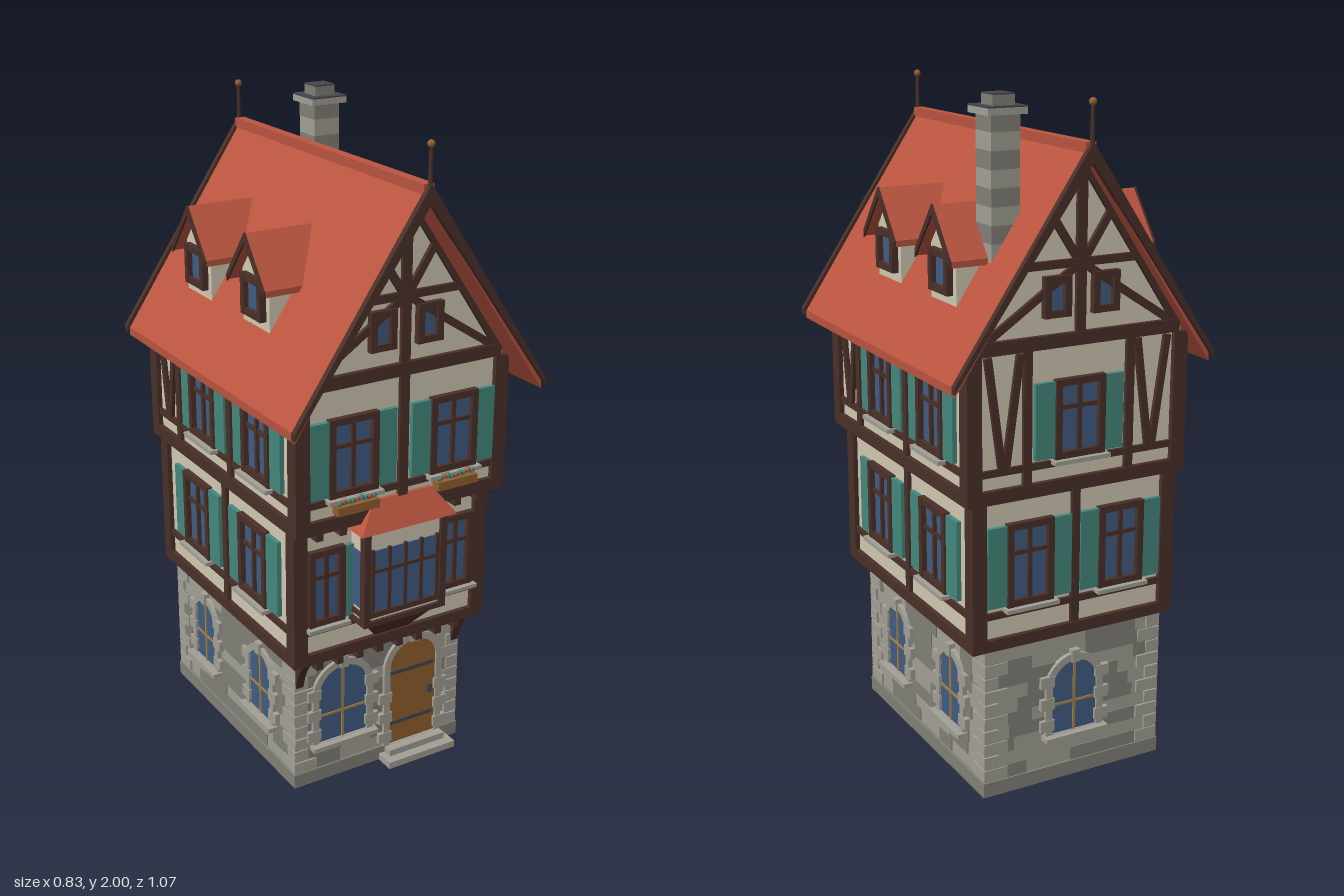
import * as THREE from 'three';

const mat = (name, color, side = THREE.FrontSide) => {
  const m = new THREE.MeshStandardMaterial({ color, side });
  m.name = name;
  return m;
};
const plaster = mat('plaster', 0xd2cab3), timber = mat('dark timber', 0x4a3029), tile = mat('red tile', 0xbb5540),
  teal = mat('teal paint', 0x44897e), glass = mat('blue glass', 0x415d84), stone = mat('light stone', 0xa3a196),
  darkStone = mat('dark stone', 0x828178), wood = mat('door wood', 0x92602f), slate = mat('slate', 0x45454c),
  brass = mat('brass', 0xa5814a);

const group = (parent, name) => {
  const g = new THREE.Group();
  g.name = name;
  parent.add(g);
  return g;
};
const add = (parent, name, geo, m) => {
  const mesh = new THREE.Mesh(geo, m);
  mesh.name = name;
  parent.add(mesh);
  return mesh;
};
// box given by its bounds
const box = (p, name, m, x0, x1, y0, y1, z0, z1) => {
  const b = add(p, name, new THREE.BoxGeometry(x1 - x0, y1 - y0, z1 - z0), m);
  b.position.set((x0 + x1) / 2, (y0 + y1) / 2, (z0 + z1) / 2);
  return b;
};
// slanted timber lying on a wall
const brace = (p, x0, y0, x1, y1, w = 0.022) => {
  const b = add(p, 'brace', new THREE.BoxGeometry(Math.hypot(x1 - x0, y1 - y0), w, 0.02), timber);
  b.position.set((x0 + x1) / 2, (y0 + y1) / 2, 0.002);
  b.rotation.z = Math.atan2(y1 - y0, x1 - x0);
};
const poly = (pts) => new THREE.Shape(pts.map(([x, y]) => new THREE.Vector2(x, y)));
const extrude = (p, name, m, shape, z0, z1) => {
  const e = add(p, name, new THREE.ExtrudeGeometry(shape, { depth: z1 - z0, bevelEnabled: false, curveSegments: 10 }), m);
  e.position.z = z0;
  return e;
};
const chevron = (top, hw, eave, t, drop) =>
  poly([[0, top], [-hw, eave], [-hw, eave - drop], [0, top - t], [hw, eave - drop], [hw, eave]]);
// box whose upper half-width and front depth differ from the lower
const taper = (p, name, m, y0, y1, [bw, bz], [tw, tz], z0) => {
  const g = new THREE.BoxGeometry(2, 1, 1), a = g.attributes.position;
  for (let i = 0; i < a.count; i++) {
    const up = a.getY(i) > 0, front = a.getZ(i) > 0;
    a.setXYZ(i, a.getX(i) * (up ? tw : bw), up ? y1 : y0, front ? (up ? tz : bz) : z0);
  }
  g.computeVertexNormals();
  return add(p, name, g, m);
};
const arch = (hw, y0, spring, rise, Kind = THREE.Shape) => {
  const s = new Kind();
  s.moveTo(-hw, y0).lineTo(hw, y0).lineTo(hw, spring);
  s.absellipse(0, spring, hw, rise, 0, Math.PI, false, 0);
  s.lineTo(-hw, y0);
  return s;
};
let seed = 7;
const rand = () => (seed = (seed * 16807) % 2147483647) / 2147483647;

// framed casement; shutters lists [from, to] offsets from the centre
function casement(p, u, y0, y1, hw, shutters = [], bars = [0], sill = true) {
  const g = group(p, 'window');
  g.position.x = u;
  const f = 0.02;
  box(g, 'windowGlass', glass, -hw + f, hw - f, y0 + f, y1 - f, -0.01, 0.004);
  for (const s of [-1, 1]) box(g, 'windowJamb', timber, s * (hw - f / 2) - f / 2, s * (hw - f / 2) + f / 2, y0, y1, -0.01, 0.02);
  for (const y of [y0, y1 - f]) box(g, 'windowRail', timber, -hw, hw, y, y + f, -0.01, 0.019);
  for (const x of bars) box(g, 'mullion', timber, x - 0.006, x + 0.006, y0, y1, -0.01, 0.014);
  const yt = y0 + (y1 - y0) * 0.64;
  if (sill) {
    box(g, 'transom', timber, -hw, hw, yt - 0.006, yt + 0.006, -0.01, 0.013);
    box(g, 'windowSill', stone, -hw - 0.01, hw + 0.01, y0 - 0.012, y0, -0.01, 0.035);
  }
  for (const [a, b] of shutters) box(g, 'shutter', teal, a, b, y0 + 0.005, y1 - 0.005, -0.005, 0.014);
}
const pair = (hw, w) => [[-hw - w, -hw], [hw, hw + w]];

// arched opening with a stone surround
function archOpening(p, u, hw, y0, spring, rise, door) {
  const g = group(p, door ? 'door' : 'archedWindow');
  g.position.x = u;
  const ring = arch(hw + 0.022, y0, spring, rise + 0.022);
  ring.holes.push(arch(hw, y0 + 0.001, spring, rise, THREE.Path));
  extrude(g, 'stoneSurround', stone, ring, 0, 0.014);
  extrude(g, door ? 'doorLeaf' : 'archedGlass', door ? wood : glass, arch(hw, y0, spring, rise), -0.01, 0.007);
  for (const s of [-1, 1]) for (let i = 0; i < 3; i++) {
    const y = y0 + 0.015 + i * 0.07, c = s * (hw + 0.017);
    box(g, 'jambStone', stone, c - 0.023, c + 0.023, y, y + 0.035, 0, 0.016);
  }
  box(g, 'keystone', stone, -0.014, 0.014, spring + rise - 0.004, spring + rise + 0.035, 0, 0.02);
  if (door) {
    for (const y of [0.12, 0.3]) box(g, 'doorStrap', slate, -hw, hw - 0.01, y - 0.006, y + 0.006, 0, 0.012);
    box(g, 'doorHandle', slate, 0.055, 0.067, 0.195, 0.225, 0, 0.02);
  } else {
    box(g, 'verticalBar', brass, -0.004, 0.004, y0, spring + rise - 0.003, 0, 0.011);
    box(g, 'crossBar', brass, -hw, hw, y0 + 0.09, y0 + 0.097, 0, 0.011);
    box(g, 'stoneSill', stone, -hw - 0.03, hw + 0.03, y0 - 0.015, y0, 0, 0.035);
  }
}

// four wall frames around a storey; local z points outward
function facades(p, name, hx, zBack, zFront) {
  const zc = (zBack + zFront) / 2;
  const make = (n, x, z, r, half) => {
    const g = group(p, n + name);
    g.position.set(x, 0, z);
    g.rotation.y = r;
    g.userData.half = half;
    return g;
  };
  const hz = (zFront - zBack) / 2;
  return [make('front', 0, zFront, 0, hx), make('back', 0, zBack, Math.PI, hx),
    make('left', hx, zc, Math.PI / 2, hz), make('right', -hx, zc, -Math.PI / 2, hz)];
}
const post = (g, u, y0, y1, w = 0.026) => box(g, 'post', timber, u - w / 2, u + w / 2, y0, y1, -0.01, 0.012);
const vBrace = (g, u, w, y0, y1) => [-1, 1].forEach((s) => brace(g, u + s * 0.006, y0, u + s * w, y1));

function groundFloor(p) {
  box(p, 'stoneWall', stone, -0.29, 0.29, 0, 0.46, -0.47, 0.31);
  box(p, 'plinth', darkStone, -0.3, 0.3, 0, 0.045, -0.478, 0.318);
  const walls = facades(p, 'StoneFacade', 0.29, -0.47, 0.31), h = 0.0415;
  for (const g of walls) {
    const half = g.userData.half;
    for (let row = 0; row < 10; row++) {
      const y = 0.045 + row * h;
      for (let u = -half; u < half;) {
        const e = Math.min(half, u + 0.06 + rand() * 0.12);
        if (rand() < 0.45) box(g, 'darkStones', darkStone, u, e, y, y + h, -0.01, 0.003);
        u = e;
      }
      const q = row % 2 ? 0.045 : 0.075;
      for (const s of [-1, 1]) {
        const c = s * (half + 0.006 - q / 2);
        box(g, 'quoin', stone, c - q / 2, c + q / 2, y + 0.002, y + h - 0.002, -0.01, 0.007);
      }
    }
  }
  const [front, back, ...sides] = walls;
  archOpening(front, -0.13, 0.085, 0.135, 0.305, 0.08);
  archOpening(front, 0.125, 0.085, 0.045, 0.32, 0.08, true);
  archOpening(back, 0, 0.075, 0.15, 0.3, 0.075);
  for (const g of sides) for (const u of [-0.185, 0.185]) archOpening(g, u, 0.067, 0.155, 0.305, 0.067);
  box(p, 'lowerStep', stone, 0.005, 0.25, 0, 0.022, 0.3, 0.38);
  box(p, 'upperStep', stone, 0.025, 0.23, 0.02, 0.043, 0.3, 0.35);
}

function storey(p, name, hx, zb, zf, y0, y1, sill, rail) {
  const s = group(p, name), o = 0.015;
  box(s, 'plasterWall', plaster, -hx, hx, y0, y1, zb, zf);
  box(s, 'sillBeam', timber, -hx - o, hx + o, y0, sill, zb - o, zf + o);
  box(s, 'railBeam', timber, -hx - 0.01, hx + 0.01, rail, rail + 0.02, zb - 0.01, zf + 0.01);
  for (const x of [-1, 1]) for (const [z, d] of [[zb, 1], [zf, -1]]) {
    const cx = x * (hx + o - 0.023), cz = z + d * (0.023 - o);
    box(s, 'cornerPost', timber, cx - 0.023, cx + 0.023, y0, y1, cz - 0.023, cz + 0.023);
  }
  return facades(s, 'Facade', hx, zb, zf);
}

function bayWindow(p) {
  const g = group(p, 'bayWindow');
  box(g, 'bayWall', plaster, -0.135, 0.135, 0.575, 0.885, 0.36, 0.445);
  for (const y of [0.575, 0.603]) box(g, 'bayBeam', timber, -0.142, 0.142, y, y + 0.016, 0.36, 0.455);
  for (const s of [-1, 1]) {
    const x = s * 0.131;
    box(g, 'bayPost', timber, x - 0.011, x + 0.011, 0.58, 0.88, 0.43, 0.455);
    box(g, 'baySideGlass', glass, s * 0.135 - 0.004, s * 0.135 + 0.004, 0.63, 0.81, 0.385, 0.425);
  }
  box(g, 'bayGlass', glass, -0.11, 0.11, 0.62, 0.815, 0.44, 0.449);
  for (const x of [-0.111, -0.055, 0, 0.055, 0.111]) box(g, 'bayBar', timber, x - 0.005, x + 0.005, 0.615, 0.82, 0.44, 0.454);
  box(g, 'bayTransom', timber, -0.11, 0.11, 0.745, 0.755, 0.44, 0.453);
  taper(g, 'bayRoof', tile, 0.88, 0.965, [0.162, 0.473], [0.1, 0.43], 0.36);
  taper(g, 'bayBracket', timber, 0.5, 0.576, [0.06, 0.385], [0.118, 0.443], 0.36);
}

function dormer(p, side, z) {
  const g = group(p, 'dormer');
  g.position.z = z;
  g.rotation.y = side * Math.PI / 2;
  extrude(g, 'dormerWall', plaster, poly([[-0.077, 1.42], [0.077, 1.42], [0.077, 1.58], [0, 1.675], [-0.077, 1.58]]), 0.12, 0.295);
  extrude(g, 'dormerRoof', tile, chevron(1.7, 0.107, 1.56, 0.022, 0.018), 0.1, 0.326);
  extrude(g, 'dormerTrim', timber, chevron(1.702, 0.109, 1.56, 0.028, 0.022), 0.325, 0.331);
  const w = group(g, 'dormerFace');
  w.position.z = 0.295;
  casement(w, 0, 1.455, 1.575, 0.058, [], [], false);
}

export function createModel() {
  const house = new THREE.Group();
  house.name = 'timberHouse';
  groundFloor(group(house, 'groundFloor'));

  // middle storey
  const [f1, b1, ...s1] = storey(house, 'middleStorey', 0.32, -0.465, 0.37, 0.46, 0.91, 0.495, 0.555);
  for (const s of [-1, 1]) {
    casement(f1, s * 0.225, 0.585, 0.825, 0.06, [s > 0 ? [-0.1, -0.06] : [0.06, 0.1]], [0]);
    casement(b1, s * 0.15, 0.585, 0.835, 0.075, pair(0.075, 0.06));
  }
  post(b1, 0, 0.49, 0.91);
  for (const g of s1) {
    post(g, 0, 0.49, 0.91);
    for (const u of [-0.183, 0.183]) casement(g, u, 0.585, 0.835, 0.083, pair(0.083, 0.068));
  }
  bayWindow(house);

  // upper storey
  const [f2, b2, ...s2] = storey(house, 'upperStorey', 0.34, -0.475, 0.42, 0.905, 1.325, 0.945, 0.983);
  for (const s of [-1, 1]) {
    casement(f2, s * 0.168, 1.005, 1.24, 0.08, pair(0.08, 0.062));
    const planter = group(f2, 'flowerBox');
    box(planter, 'planter', wood, s * 0.168 - 0.068, s * 0.168 + 0.068, 0.96, 0.987, 0.012, 0.045);
    for (let i = 0; i < 9; i++) {
      const m = add(planter, 'plant', new THREE.IcosahedronGeometry(0.011, 0), i % 3 === 1 ? tile : teal);
      m.position.set(s * 0.168 - 0.056 + i * 0.014, 0.992 + rand() * 0.008, 0.029);
    }
    post(b2, s * 0.165, 0.94, 1.33);
    vBrace(b2, s * 0.238, 0.05, 1.0, 1.32);
  }
  casement(b2, 0, 1.005, 1.235, 0.08, pair(0.08, 0.062));
  for (const g of s2) {
    post(g, -0.275, 0.94, 1.33);
    post(g, 0.06, 0.94, 1.33);
    vBrace(g, -0.345, 0.05, 1.0, 1.28);
    for (const u of [-0.1025, 0.2325]) casement(g, u, 1.005, 1.235, 0.08, pair(0.08, 0.06));
  }

  // joist ends and corner brackets under the jetties
  for (let i = 0; i < 8; i++) {
    const x = -0.245 + i * 0.07;
    box(house, 'joistEnd', timber, x - 0.011, x + 0.011, 0.432, 0.462, 0.3, 0.378);
    box(house, 'joistEnd', timber, x * 1.12 - 0.011, x * 1.12 + 0.011, 0.88, 0.907, 0.36, 0.428);
  }
  for (const s of [-1, 1]) {
    const curve = new THREE.Shape();
    curve.moveTo(-0.3, 0.35).lineTo(-0.3, 0.465).lineTo(-0.385, 0.465).quadraticCurveTo(-0.335, 0.43, -0.318, 0.35);
    const b = extrude(house, 'cornerBracket', timber, curve, 0, 0.026);
    b.rotation.y = Math.PI / 2;
    b.position.x = s * 0.28 - 0.013;
  }

  // gables
  const attic = group(house, 'attic');
  extrude(attic, 'gableWall', plaster, poly([[-0.338, 1.31], [0.338, 1.31], [0.338, 1.335], [0, 1.845], [-0.338, 1.335]]), -0.475, 0.42);
  box(attic, 'tieBeam', timber, -0.325, 0.325, 1.325, 1.363, -0.49, 0.435);
  for (const g of facades(attic, 'Gable', 0.34, -0.475, 0.42).slice(0, 2)) {
    post(g, 0, g.position.z > 0 ? 0.94 : 1.33, 1.84, 0.03);
    box(g, 'collarBeam', timber, -0.19, 0.19, 1.543, 1.566, -0.01, 0.011);
    for (const s of [-1, 1]) {
      casement(g, s * 0.077, 1.41, 1.525, 0.042, [], [], false);
      brace(g, s * 0.29, 1.365, s * 0.015, 1.545);
      brace(g, s * 0.015, 1.57, s * 0.1, 1.7);
      brace(g, s * 0.325, 1.345, s * 0.01, 1.815, 0.026);
    }
  }

  // main roof
  const roof = group(house, 'roof');
  extrude(roof, 'roofSlopes', tile, chevron(1.868, 0.406, 1.262, 0.035, 0.025), -0.522, 0.522);
  box(roof, 'ridgeCap', tile, -0.016, 0.016, 1.852, 1.88, -0.522, 0.522);
  for (const s of [-1, 1]) {
    extrude(roof, 'bargeBoard', timber, chevron(1.882, 0.415, 1.268, 0.055, 0.02), s * 0.527 - 0.009, s * 0.527 + 0.009);
    const pole = add(roof, 'finialPole', new THREE.CylinderGeometry(0.005, 0.007, 0.13, 8), timber);
    pole.position.set(0, 1.92, s * 0.527);
    const ball = add(roof, 'finialBall', new THREE.SphereGeometry(0.011, 10, 8), wood);
    ball.position.set(0, 1.985, s * 0.527);
    for (const z of [0.115, -0.238]) dormer(roof, s, z);
  }

  // chimney
  const chimney = group(house, 'chimney');
  for (let i = 0; i < 8; i++) {
    const y = 1.55 + i * 0.05;
    box(chimney, 'chimneyCourse', i % 2 ? darkStone : stone, 0.125, 0.213, y, y + 0.05, -0.364, -0.276);
  }
  box(chimney, 'chimneyCap', stone, 0.11, 0.23, 1.945, 1.964, -0.378, -0.262);
  box(chimney, 'capTop', slate, 0.11, 0.23, 1.964, 1.968, -0.378, -0.262);
  box(chimney, 'chimneyPot', darkStone, 0.136, 0.203, 1.968, 1.996, -0.353, -0.287);
  box(chimney, 'potTop', slate, 0.136, 0.203, 1.996, 2, -0.353, -0.287);
  return house;
}
